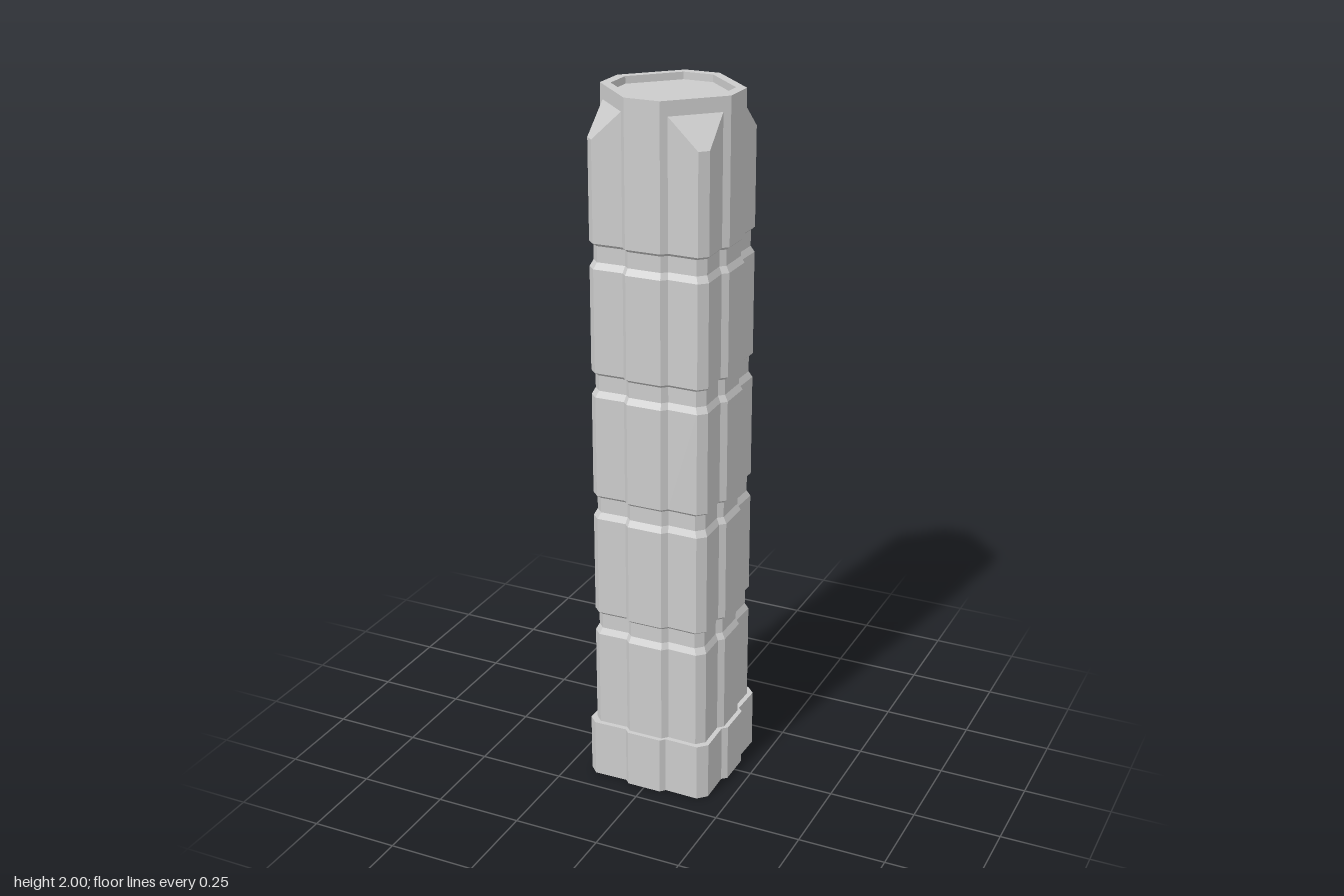
import * as THREE from 'three';

const material = new THREE.MeshStandardMaterial({ color: 0xcccccc, flatShading: true, side: THREE.DoubleSide });

// One quarter of a plan: central rib, step down its slanted side, chamfered corner, step up again.
// Turning it four times gives a ring of 24 points [x, z].
function ring(quarter) {
  const points = [];
  for (let k = 0; k < 4; k++) {
    for (const [x, z] of quarter) {
      points.push([[x, z], [z, -x], [-x, -z], [-z, x]][k]);
    }
  }
  return points;
}

// A level of a loft: plan, height (number or function of the point index) and scale
const level = (plan, y, s = 1) =>
  plan.map(([x, z], i) => new THREE.Vector3(x * s, typeof y === 'function' ? y(i) : y, z * s));

// Flat-faced skin through successive levels
function loft(name, levels) {
  const pos = [];
  const tri = (a, b, c) => {
    if (new THREE.Triangle(a, b, c).getArea() > 1e-8) pos.push(...a, ...b, ...c);
  };
  for (let r = 0; r + 1 < levels.length; r++) {
    const lo = levels[r], hi = levels[r + 1];
    for (let i = 0; i < lo.length; i++) {
      const j = (i + 1) % lo.length;
      tri(lo[i], lo[j], hi[j]);
      tri(lo[i], hi[j], hi[i]);
    }
  }
  const geometry = new THREE.BufferGeometry();
  geometry.setAttribute('position', new THREE.Float32BufferAttribute(pos, 3));
  geometry.computeVertexNormals();
  const mesh = new THREE.Mesh(geometry, material);
  mesh.name = name;
  return mesh;
}

export function createModel() {
  const model = new THREE.Group();
  model.name = 'pillar';

  const shaftPlan = ring([[-0.05, 0.185], [0.05, 0.185], [0.065, 0.17], [0.15, 0.172], [0.172, 0.15], [0.17, 0.065]]);
  const basePlan = ring([[-0.05, 0.198], [0.05, 0.198], [0.063, 0.184], [0.161, 0.186], [0.186, 0.161], [0.184, 0.063]]);
  // Octagon with the corners folded back onto its diagonals
  const capPlan = ring([[-0.05, 0.185], [0.05, 0.185], [0.065, 0.17], [0.065, 0.17], [0.17, 0.065], [0.17, 0.065]]);

  // Hollow plinth with a ledge running in to the shaft
  model.add(loft('base', [level(basePlan, 0), level(basePlan, 0.17), level(shaftPlan, 0.17)]));

  // Shaft with four grooves: bevelled lower lip, sharper upper lip
  const rows = [level(shaftPlan, 0.17)];
  for (let k = 0; k < 4; k++) {
    const y = 0.455 + 0.36 * k;
    rows.push(
      level(shaftPlan, y),
      level(shaftPlan, y + 0.018, 0.95),
      level(shaftPlan, y + 0.062, 0.95),
      level(shaftPlan, y + 0.07)
    );
  }
  // Corners stop lower and slope up to the octagonal cap
  const isCorner = i => i % 6 === 3 || i % 6 === 4;
  rows.push(level(shaftPlan, i => (isCorner(i) ? 1.88 : 1.96)), level(capPlan, 1.96));
  model.add(loft('shaft', rows));

  // Octagonal cap with a flat rim and a shallow recess
  model.add(loft('cap', [
    level(capPlan, 1.96),
    level(capPlan, 2),
    level(capPlan, 2, 0.853),
    level(capPlan, 1.98, 0.853),
    level(capPlan, 1.98, 0)
  ]));

  return model;
}
